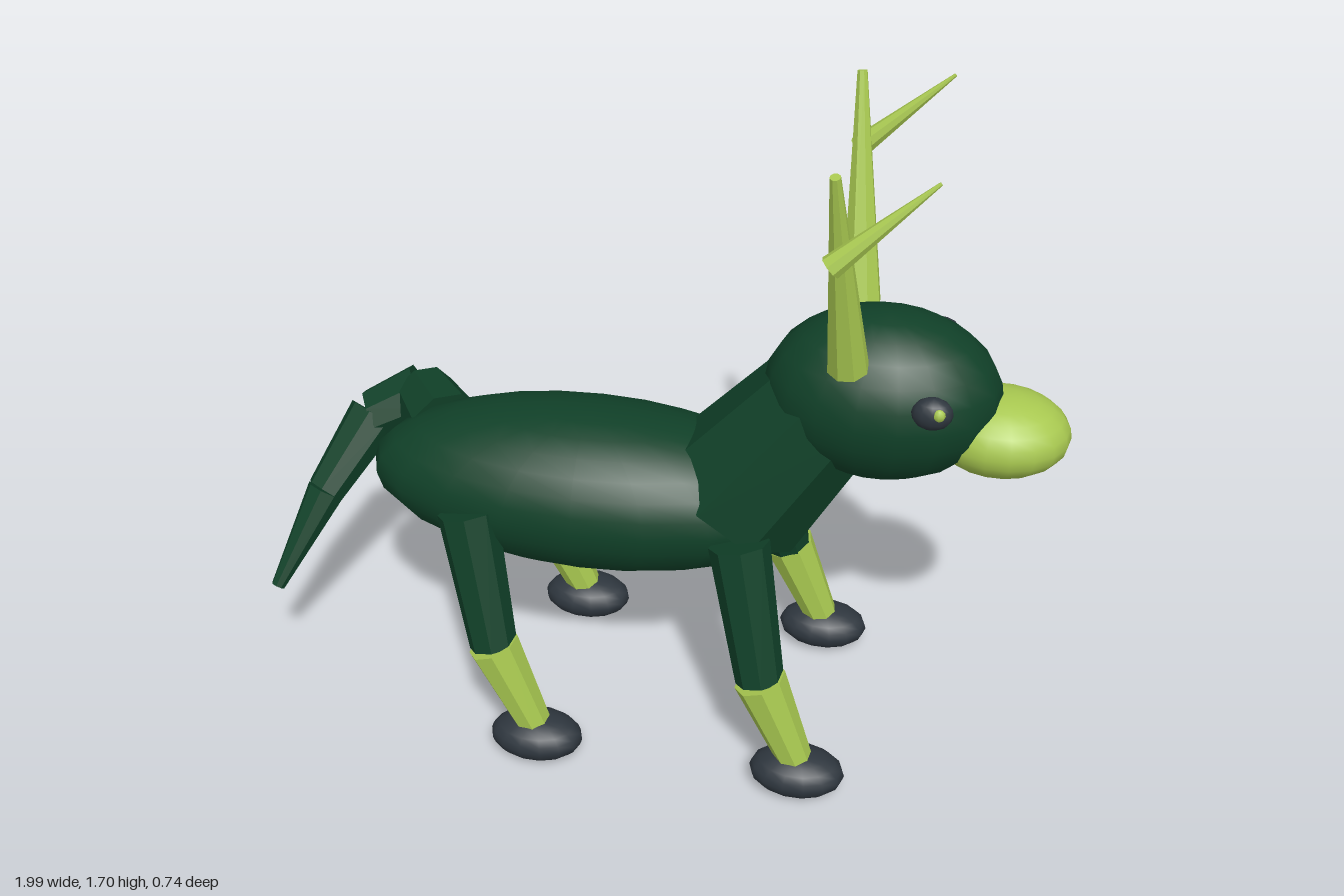
import * as THREE from 'three';

const material = (name, color, flatShading = false) => {
  const m = new THREE.MeshStandardMaterial({ color, flatShading });
  m.name = name;
  return m;
};

export function createModel() {
  const coat = material('dark green coat', 0x104028);
  const lime = material('lime', 0xa8c850);
  const slate = material('slate', 0x2e363e);
  const model = new THREE.Group();
  model.name = 'antleredAnimal';

  // Smooth ellipsoid from centre and radii
  function ellipsoid(name, mat, centre, radii, w = 18, h = 12) {
    const mesh = new THREE.Mesh(new THREE.SphereGeometry(1, w, h).scale(...radii), mat);
    mesh.name = name;
    mesh.position.set(...centre);
    model.add(mesh);
  }

  // Tapered limb with flat facets between two points
  function limb(name, mat, from, to, r0, r1, sides = 8) {
    const a = new THREE.Vector3(...from);
    const b = new THREE.Vector3(...to);
    const dir = b.clone().sub(a);
    const geo = new THREE.CylinderGeometry(r1, r0, dir.length(), sides, 1, false, Math.PI / sides).toNonIndexed();
    geo.computeVertexNormals();
    const mesh = new THREE.Mesh(geo, mat);
    mesh.name = name;
    mesh.position.copy(a).add(b).multiplyScalar(0.5);
    mesh.quaternion.setFromUnitVectors(new THREE.Vector3(0, 1, 0), dir.normalize());
    model.add(mesh);
  }

  // Trunk, neck, head and muzzle
  ellipsoid('body', coat, [-0.155, 0.67, 0], [0.57, 0.21, 0.24], 20, 14);
  limb('neck', coat, [0.21, 0.69, 0], [0.45, 1.02, 0], 0.205, 0.155);
  ellipsoid('head', coat, [0.55, 1.022, 0], [0.28, 0.212, 0.197]);
  ellipsoid('muzzle', lime, [0.828, 0.948, 0], [0.165, 0.1, 0.138]);

  for (const s of [1, -1]) {
    // Eyes with a small bright glint
    ellipsoid('eye', slate, [0.67, 1.09, s * 0.183], [0.047, 0.04, 0.032], 12, 8);
    ellipsoid('eyeGlint', lime, [0.685, 1.1, s * 0.205], [0.015, 0.016, 0.012], 8, 6);

    // Antlers; the side tines are not quite mirrored
    limb('antler', lime, [0.475, 1.17, s * 0.155], [0.43, 1.69, s * 0.29], 0.048, 0.012);
    const tineBase = s > 0 ? 0.335 : -0.267;
    limb('antlerTine', lime, [0.435, 1.51, tineBase], [0.64, 1.695, s * 0.29], 0.027, 0.004);

    // Fore and hind legs
    for (const [label, x] of [['front', 0], ['hind', -0.675]]) {
      limb(label + 'UpperLeg', coat, [0.25 + x, 0.67, s * 0.19], [0.325 + x, 0.33, s * 0.28], 0.075, 0.06);
      limb(label + 'LowerLeg', lime, [0.325 + x, 0.335, s * 0.282], [0.43 + x, 0.08, s * 0.29], 0.066, 0.043);
      ellipsoid(label + 'Hoof', slate, [0.43 + x, 0.059, s * 0.292], [0.12, 0.059, 0.08], 14, 10);
    }
  }

  // Curling tail of tapering segments
  const path = [[-0.56, 0.73, -0.08], [-0.655, 0.745, -0.2], [-0.78, 0.69, -0.155], [-0.88, 0.53, -0.01], [-0.982, 0.31, 0.14]];
  const radii = [0.1, 0.082, 0.07, 0.05, 0.018];
  for (let i = 0; i < path.length - 1; i++) {
    limb('tailSegment', coat, path[i], path[i + 1], radii[i], radii[i + 1]);
  }

  return model;
}
